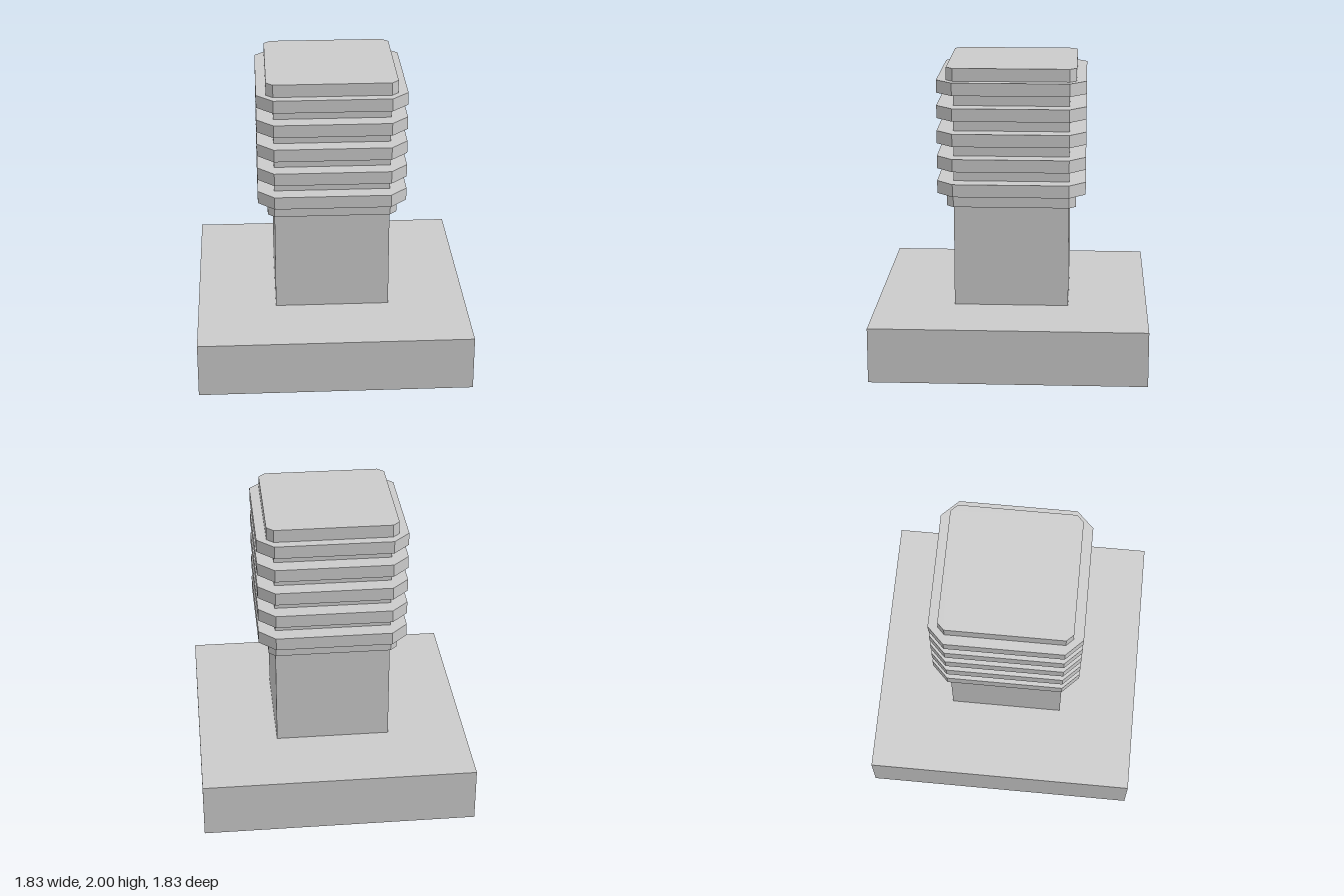
import * as THREE from 'three';

const material = new THREE.MeshStandardMaterial({ color: 0xcccccc, flatShading: true });
const CORE = 0.385; // half width of the column and of each plate's straight side

function addPart(parent, name, geometry, y) {
  const mesh = new THREE.Mesh(geometry, material);
  mesh.name = name;
  mesh.position.y = y;
  parent.add(mesh);
}

// Square plate with chamfered corners, its underside on y = 0
function plateGeometry(half, height) {
  const a = half, b = CORE;
  const outline = [[a, -b], [a, b], [b, a], [-b, a], [-a, b], [-a, -b], [-b, -a], [b, -a]];
  const shape = new THREE.Shape(outline.map(([x, y]) => new THREE.Vector2(x, y)));
  const geometry = new THREE.ExtrudeGeometry(shape, { depth: height, bevelEnabled: false });
  return geometry.rotateX(-Math.PI / 2);
}

export function createModel() {
  const model = new THREE.Group();
  model.name = 'finnedPost';

  // Base slab and square column
  const baseHeight = 0.37;
  addPart(model, 'base', new THREE.BoxGeometry(1.83, baseHeight, 1.83), baseHeight / 2);
  const columnTop = 1.95;
  addPart(model, 'column', new THREE.BoxGeometry(2 * CORE, columnTop - baseHeight, 2 * CORE),
    (columnTop + baseHeight) / 2);

  // Head: eleven equal layers, with a collar at each end and five spaced fins
  const headBottom = 1.065;
  const layer = (2 - headBottom) / 11;
  const head = new THREE.Group();
  head.name = 'head';
  head.position.y = headBottom;
  model.add(head);

  addPart(head, 'lowerCollar', plateGeometry(0.43, layer), 0);
  for (let i = 0; i < 5; i++) {
    addPart(head, `fin${i + 1}`, plateGeometry(0.495, layer), (1 + 2 * i) * layer);
  }
  addPart(head, 'topCap', plateGeometry(0.43, layer), 10 * layer);

  return model;
}
